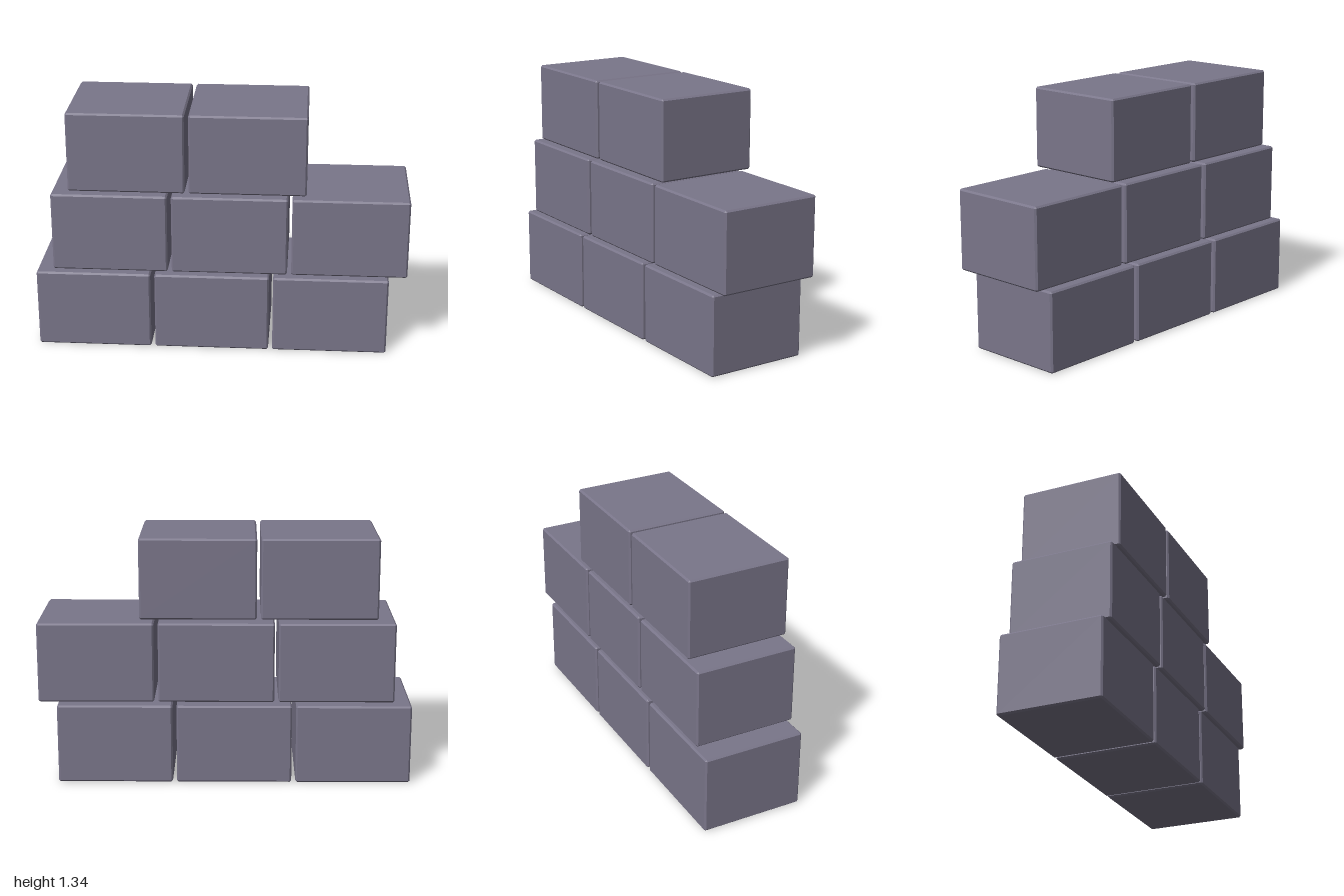
import * as THREE from 'three';
import { ConvexGeometry } from 'three/addons/geometries/ConvexGeometry.js';

// Box with every edge cut by a small flat bevel
function bevelledBox(w, h, d, bevel) {
  const points = [];
  for (const sx of [-1, 1]) for (const sy of [-1, 1]) for (const sz of [-1, 1]) {
    for (let face = 0; face < 3; face++) {
      const inset = [0, 1, 2].map((axis) => (axis === face ? 0 : bevel));
      points.push(new THREE.Vector3(
        sx * (w / 2 - inset[0]),
        sy * (h / 2 - inset[1]),
        sz * (d / 2 - inset[2])
      ));
    }
  }
  return new ConvexGeometry(points);
}

export function createModel() {
  const model = new THREE.Group();
  model.name = 'brickStack';

  const width = 0.62, height = 0.432, depth = 0.562;
  const pitchX = 0.642, pitchY = 0.4545, rowShift = 0.096;
  const brick = bevelledBox(width, height, depth, 0.009);
  const material = new THREE.MeshStandardMaterial({ color: 0x7a768a, flatShading: true });

  // Three courses, each stepped sideways; the top one has only two bricks
  [3, 3, 2].forEach((count, row) => {
    const course = new THREE.Group();
    course.name = `course${row + 1}`;
    course.position.set(-1 + width / 2 + row * rowShift, height / 2 + row * pitchY, 0);
    for (let i = 0; i < count; i++) {
      const mesh = new THREE.Mesh(brick, material);
      mesh.name = `brick${i + 1}`;
      mesh.position.x = i * pitchX;
      course.add(mesh);
    }
    model.add(course);
  });

  return model;
}
